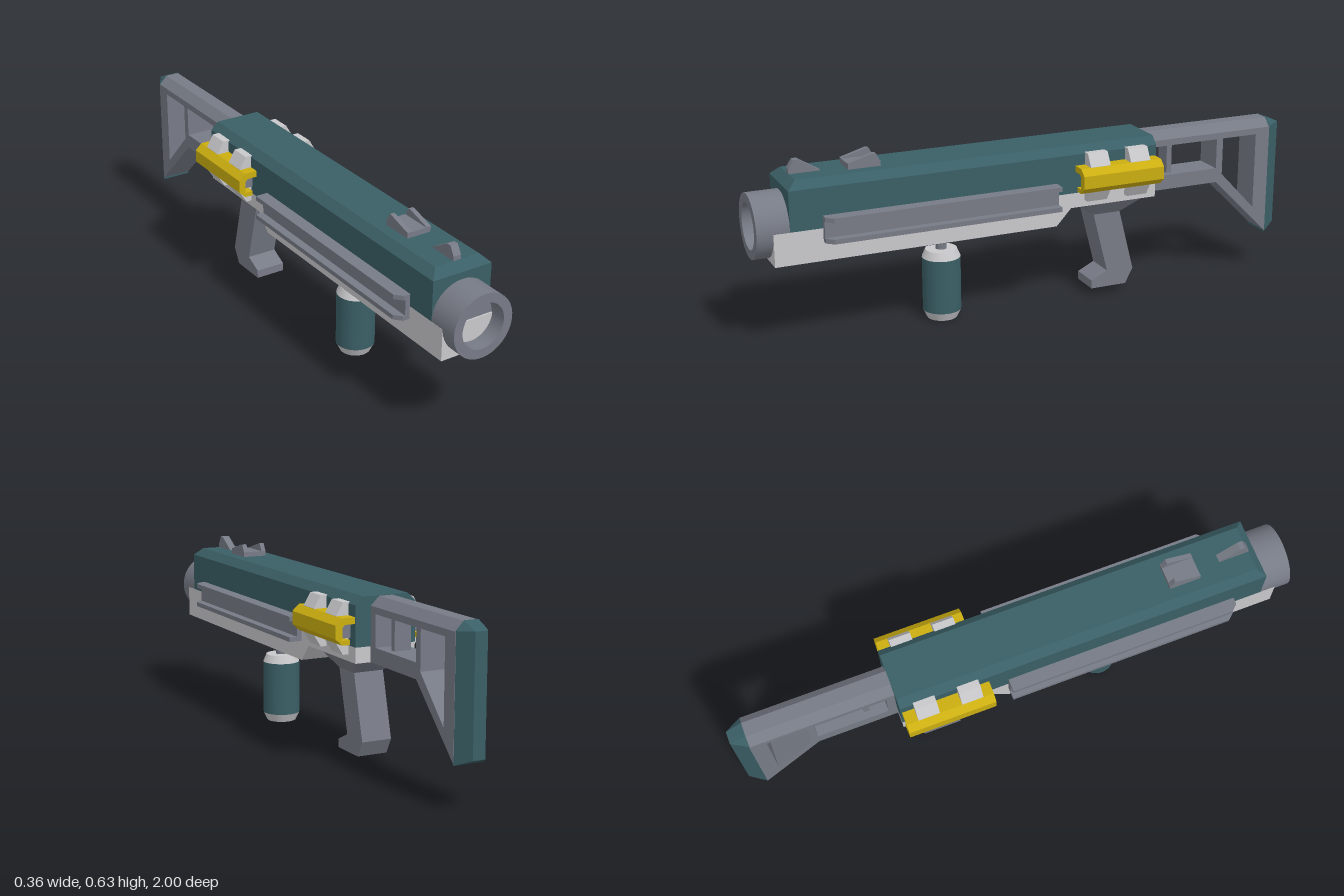
import * as THREE from 'three';
import { ConvexGeometry } from 'three/addons/geometries/ConvexGeometry.js';

const material = (name, color) => {
  const m = new THREE.MeshStandardMaterial({ color });
  m.name = name;
  return m;
};

export function createModel() {
  const teal = material('teal', 0x3a5f66);
  const light = material('light grey', 0xc8c8cb);
  const grey = material('steel grey', 0x777b86);
  const yellow = material('yellow', 0xcbae10);

  const model = new THREE.Group();
  model.name = 'launcher';
  const add = (name, geometry, mat, parent = model) => {
    const mesh = new THREE.Mesh(geometry, mat);
    mesh.name = name;
    parent.add(mesh);
    return mesh;
  };
  const shapeOf = (pts, holes = []) => {
    const shape = new THREE.Shape(pts.map(p => new THREE.Vector2(...p)));
    holes.forEach(h => shape.holes.push(new THREE.Path(h.map(p => new THREE.Vector2(...p)))));
    return shape;
  };
  // side profile in (z, y), extruded across x
  const side = (pts, x0, x1, holes) => {
    const g = new THREE.ExtrudeGeometry(shapeOf(pts, holes), { depth: x1 - x0, bevelEnabled: false });
    return g.rotateY(-Math.PI / 2).translate(x1, 0, 0);
  };
  // cross-section in (x, y), extruded along z
  const along = (pts, z0, z1) =>
    new THREE.ExtrudeGeometry(shapeOf(pts), { depth: z1 - z0, bevelEnabled: false }).translate(0, 0, z0);
  // convex solid from right-half points, mirrored in x
  const hull = half => new ConvexGeometry(
    half.flatMap(([x, y, z]) => [new THREE.Vector3(x, y, z), new THREE.Vector3(-x, y, z)]));
  const lathe = (pts, seg = 40) =>
    new THREE.LatheGeometry(pts.map(p => new THREE.Vector2(...p)), seg);

  // Upper and lower receiver
  add('upperReceiver', hull([
    [0.111, 0.42, -0.44], [0.111, 0.558, -0.44], [0.083, 0.585, -0.44],
    [0.083, 0.585, 0.86], [0.111, 0.558, 0.89], [0.111, 0.42, 0.89],
  ]), teal);
  add('lowerReceiver', side([
    [0.945, 0.308], [0.945, 0.42], [-0.44, 0.42], [-0.44, 0.367], [-0.11, 0.367], [-0.055, 0.308],
  ], -0.111, 0.111), light);

  // Barrel with a shallow bore
  const barrel = new THREE.Group();
  barrel.name = 'barrel';
  barrel.position.set(0, 0.423, 0);
  model.add(barrel);
  add('barrelOuter', new THREE.CylinderGeometry(0.111, 0.111, 0.13, 48, 1, true)
    .rotateX(Math.PI / 2).translate(0, 0, 0.935), grey, barrel);
  add('muzzleRing', new THREE.RingGeometry(0.079, 0.111, 48).translate(0, 0, 1), grey, barrel);
  add('bore', lathe([[0.079, 0.06], [0.079, 0]], 48).rotateX(Math.PI / 2)
    .translate(0, 0, 0.94), grey, barrel).material = grey;
  barrel.children[2].geometry.scale(1, 1, 1);
  add('boreFloor', new THREE.CircleGeometry(0.079, 48).translate(0, 0, 0.94), grey, barrel);

  // Side rails, clamps and yellow mounts
  for (const s of [1, -1]) {
    const group = new THREE.Group();
    group.name = s > 0 ? 'leftSideFittings' : 'rightSideFittings';
    model.add(group);
    const m = pts => pts.map(([x, y]) => [x * s, y]);

    add('railWeb', along(m([[0.105, 0.375], [0.128, 0.375], [0.128, 0.463], [0.105, 0.463]]),
      -0.055, 0.78), grey, group);
    for (const y of [0.375, 0.447]) {
      const plan = [[0.12, -0.055], [0.157, -0.055], [0.157, 0.755], [0.135, 0.78], [0.12, 0.78]];
      add('railFlange', new ConvexGeometry(plan.flatMap(([x, z]) =>
        [new THREE.Vector3(x * s, y, z), new THREE.Vector3(x * s, y + 0.016, z)])), grey, group);
    }

    add('yellowMount', along(m([
      [0.105, 0.519], [0.157, 0.519], [0.181, 0.497], [0.181, 0.452], [0.157, 0.43], [0.128, 0.43],
      [0.128, 0.446], [0.157, 0.446], [0.157, 0.487], [0.147, 0.497], [0.105, 0.497],
    ]), -0.435, -0.125), yellow, group);
    add('mountCore', along(m([
      [0.105, 0.447], [0.156, 0.447], [0.156, 0.486], [0.147, 0.496], [0.105, 0.496],
    ]), -0.405, -0.155), grey, group);
    for (const z of [-0.2, -0.355]) {
      add('clamp', along(m([
        [0.105, 0.563], [0.132, 0.563], [0.157, 0.52], [0.157, 0.43], [0.132, 0.39], [0.105, 0.39],
      ]), z - 0.038, z + 0.038), light, group);
    }
  }

  // Sights
  add('frontSight', side([[0.86, 0.58], [0.86, 0.6], [0.842, 0.63], [0.825, 0.63], [0.752, 0.585], [0.752, 0.58]],
    -0.014, 0.014), grey);
  add('rearSightBase', side([[0.668, 0.58], [0.668, 0.603], [0.556, 0.603], [0.556, 0.58]],
    -0.045, 0.045), grey);
  for (const x of [-0.045, 0.028]) {
    add('rearSightPost', side([[0.668, 0.6], [0.668, 0.605], [0.582, 0.63], [0.572, 0.63], [0.556, 0.6]],
      x, x + 0.017), grey);
  }

  // Pistol grip with flared top
  add('gripFlare', hull([
    [0.1, 0.37, -0.166], [0.1, 0.37, -0.406], [0.055, 0.31, -0.225], [0.055, 0.31, -0.33],
  ]), grey);
  add('pistolGrip', side([
    [-0.225, 0.315], [-0.283, 0.09], [-0.222, 0.06], [-0.222, 0.03], [-0.358, 0.03],
    [-0.387, 0.085], [-0.328, 0.315],
  ], -0.055, 0.055), grey);

  // Foregrip
  add('foregripPlate', hull([
    [0.062, 0.312, 0.5], [0.062, 0.312, 0.166], [0.058, 0.296, 0.5], [0.058, 0.296, 0.166],
    [0.04, 0.28, 0.49], [0.04, 0.28, 0.176],
  ]), grey);
  const foregrip = new THREE.Group();
  foregrip.name = 'foregrip';
  foregrip.position.z = 0.333;
  model.add(foregrip);
  add('foregripStem', new THREE.CylinderGeometry(0.019, 0.019, 0.05, 20).translate(0, 0.265, 0), grey, foregrip);
  add('foregripBottom', lathe([[0, 0], [0.053, 0], [0.053, 0], [0.067, 0.03]]), light, foregrip);
  add('foregripBody', lathe([[0.067, 0.03], [0.067, 0.222]]), teal, foregrip);
  add('foregripTop', lathe([[0.067, 0.222], [0.055, 0.25], [0.055, 0.25], [0, 0.25]]), light, foregrip);

  // Stock: bevelled top beam, lower beam with strut, posts and butt
  add('stockTopBeam', along([
    [-0.055, 0.53], [0.055, 0.53], [0.055, 0.553], [0.025, 0.583], [-0.025, 0.583], [-0.055, 0.553],
  ], -0.945, -0.44), grey);
  add('stockLowerFrame', side([
    [-0.44, 0.42], [-0.44, 0.367], [-0.725, 0.367], [-0.945, 0.15], [-0.945, 0.535], [-0.888, 0.535],
    [-0.888, 0.25], [-0.749, 0.395], [-0.749, 0.42],
  ], -0.055, 0.055), grey);
  for (const [z0, z1, w] of [[-0.47, -0.44, 0.055], [-0.55, -0.53, 0.03], [-0.749, -0.723, 0.055]]) {
    add('stockPost', side([[z0, 0.41], [z1, 0.41], [z1, 0.535], [z0, 0.535]], -w, w), grey);
  }
  add('buttPad', hull([
    [0.055, 0.145, -0.943], [0.055, 0.555, -0.943], [0.025, 0.585, -0.943],
    [0.022, 0.17, -1], [0.022, 0.56, -1],
  ]), teal);

  // The bore is seen from inside
  barrel.children[2].geometry.computeVertexNormals();
  return model;
}
